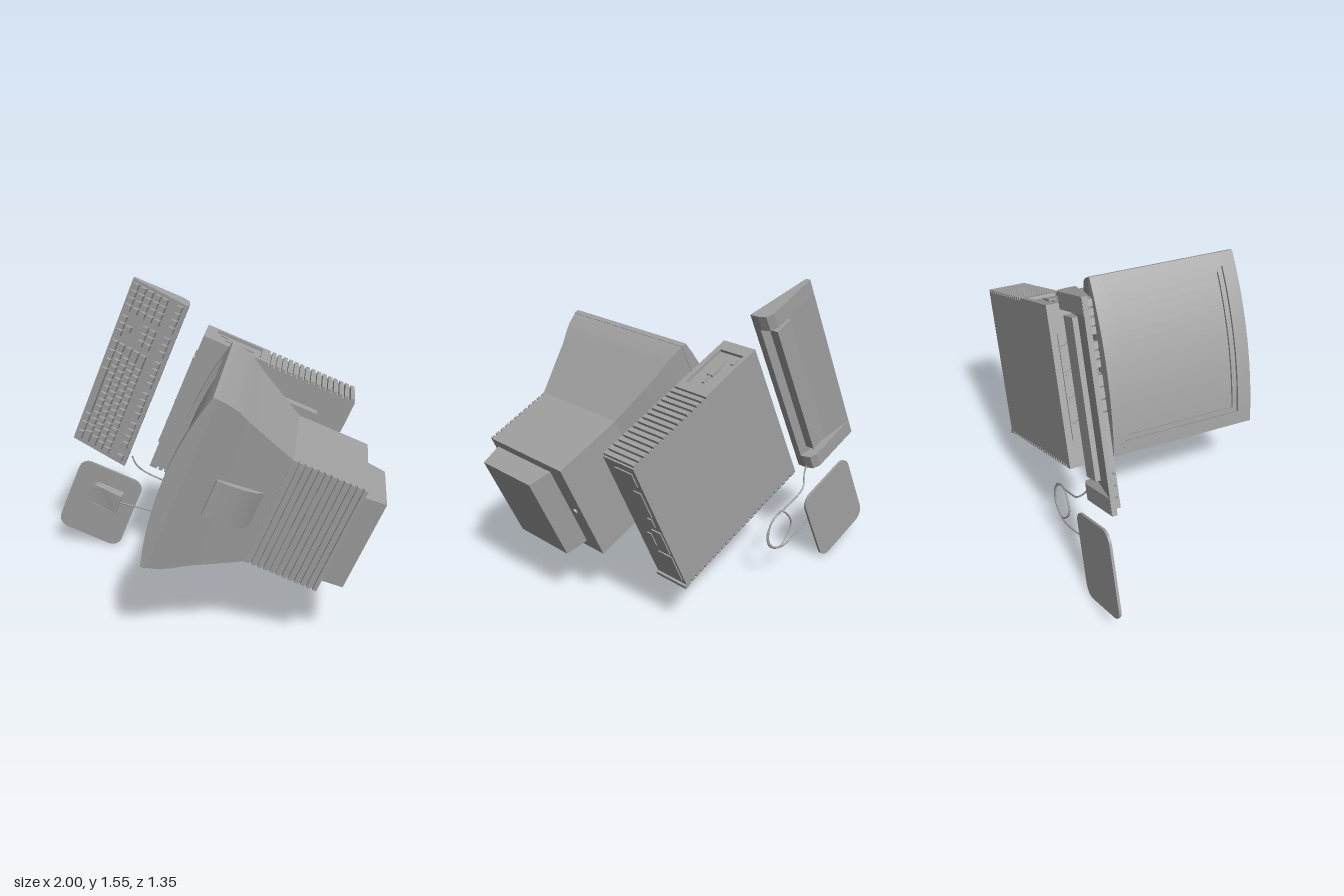
import * as THREE from 'three';
import { mergeGeometries, toCreasedNormals } from 'three/addons/utils/BufferGeometryUtils.js';

export function createModel() {
  const grey = new THREE.MeshStandardMaterial({ color: 0xa0a0a0 });
  grey.name = 'grey';

  // Desk frame: x = depth towards the back, y = width, z = height above the desk
  const model = new THREE.Group();
  model.name = 'desktopComputer';
  const desk = new THREE.Group();
  desk.name = 'deskFrame';
  const D = new THREE.Vector3(0.84, -0.375, -0.39).normalize();
  const W = new THREE.Vector3(0.352, 0.929, -0.112);
  W.addScaledVector(D, -W.dot(D)).normalize();
  const U = new THREE.Vector3().crossVectors(D, W);
  desk.quaternion.setFromRotationMatrix(new THREE.Matrix4().makeBasis(D, W, U));
  model.add(desk);

  const FLOOR = -0.463;
  const MID = 0.815;

  const add = (name, geo) => {
    const mesh = new THREE.Mesh(geo, grey);
    mesh.name = name;
    desk.add(mesh);
    return mesh;
  };
  const boxGeo = (d0, d1, w0, w1, u0, u1, segs = 1) =>
    new THREE.BoxGeometry(d1 - d0, w1 - w0, u1 - u0, 1, segs, 1)
      .translate((d0 + d1) / 2, (w0 + w1) / 2, (u0 + u1) / 2);
  const box = (name, ...r) => add(name, boxGeo(...r));
  const merged = (name, list) => add(name, mergeGeometries(list));
  // Side profile in (depth, height), swept across the width
  const prism = (profile, w0, w1) => {
    const shape = new THREE.Shape(profile.map(p => new THREE.Vector2(p[0], p[1])));
    return new THREE.ExtrudeGeometry(shape, { depth: w1 - w0, bevelEnabled: false })
      .rotateX(Math.PI / 2).translate(0, w1, 0);
  };
  // Rectangular sections [depth, halfWidth, bottom, top] joined into a shell
  const loft = (sections) => {
    const rings = sections.map(([d, h, b, t]) =>
      [[d, MID - h, b], [d, MID + h, b], [d, MID + h, t], [d, MID - h, t]]);
    const pos = [];
    const quad = (a, b, c, e) => pos.push(...a, ...b, ...c, ...a, ...c, ...e);
    for (let i = 0; i < rings.length - 1; i++)
      for (let k = 0; k < 4; k++) {
        const n = (k + 1) % 4;
        quad(rings[i][k], rings[i + 1][k], rings[i + 1][n], rings[i][n]);
      }
    const f = rings[0], l = rings[rings.length - 1];
    quad(f[0], f[1], f[2], f[3]);
    quad(l[3], l[2], l[1], l[0]);
    // wind every face outwards
    for (let i = 0; i < pos.length; i += 9)
      for (let k = 0; k < 3; k++) [pos[i + 3 + k], pos[i + 6 + k]] = [pos[i + 6 + k], pos[i + 3 + k]];
    const g = new THREE.BufferGeometry();
    g.setAttribute('position', new THREE.Float32BufferAttribute(pos, 3));
    g.computeVertexNormals();
    return toCreasedNormals(g, 0.5);
  };

  // System case with ribbed flanks
  box('caseBody', -0.53, 0.30, 0.43, 1.185, FLOOR, -0.268);
  box('caseFrontFlank', -0.53, -0.47, 1.185, 1.2, FLOOR, -0.268);
  box('caseFrontLowerFlank', -0.53, -0.49, 0.415, 0.43, FLOOR, -0.268);
  const ribs = [];
  for (let i = 0; i < 16; i++) {
    const d = -0.2 + i * 0.0314;
    ribs.push(boxGeo(d, d + 0.021, 1.185, 1.2, FLOOR, -0.268));
  }
  for (let i = 0; i < 25; i++) {
    const d = -0.48 + i * 0.0314;
    ribs.push(boxGeo(d, d + 0.021, 0.415, 0.43, FLOOR, -0.268));
  }
  merged('caseRibs', ribs);

  // Drive bay on the flank: surround, slot and latch
  merged('driveBay', [
    boxGeo(-0.47, -0.2, 1.185, 1.2, FLOOR, -0.44),
    boxGeo(-0.47, -0.2, 1.185, 1.2, -0.295, -0.268),
    boxGeo(-0.225, -0.2, 1.185, 1.2, -0.44, -0.295),
    boxGeo(-0.42, -0.26, 1.185, 1.192, -0.375, -0.36),
    boxGeo(-0.37, -0.31, 1.185, 1.196, -0.385, -0.35),
    boxGeo(-0.45, -0.41, 1.185, 1.192, -0.425, -0.405)
  ]);

  // Zigzag grille on the case front
  const grille = [];
  for (let i = 0; i < 8; i++) {
    const w = 0.59 + i * 0.062;
    const s = i % 2 ? 1 : -1;
    grille.push(new THREE.BoxGeometry(0.012, 0.13, 0.012).rotateX(s * 0.95).translate(-0.533, w, -0.365));
  }
  for (const u of [-0.425, -0.305]) grille.push(boxGeo(-0.538, -0.528, 0.55, 1.06, u - 0.005, u + 0.005));
  merged('frontGrille', grille);

  // Sockets and cover plates on the case back
  const plates = [
    [1.07, 1.15, -0.44, -0.33], [0.88, 1.03, -0.44, -0.39], [0.81, 0.86, -0.43, -0.4],
    [0.64, 0.78, -0.45, -0.39], [0.46, 0.62, -0.45, -0.36], [0.66, 0.74, -0.37, -0.345]
  ];
  merged('backPlates', plates.map(p => boxGeo(0.298, 0.306, ...p)));
  box('backLip', 0.29, 0.312, 0.41, 0.43, FLOOR, -0.268);

  // Plinth and swivel stand
  box('plinth', -0.40, 0.145, 0.545, 1.07, -0.27, -0.217);
  const swivel = new THREE.LatheGeometry([[0, -0.217], [0.235, -0.217], [0.235, -0.185],
    [0.21, -0.165], [0.15, -0.14], [0, -0.13]].map(p => new THREE.Vector2(...p)), 40)
    .rotateX(Math.PI / 2).translate(-0.12, MID, 0);
  add('swivelDisc', toCreasedNormals(swivel, 0.5));
  const saddle = [[-0.30, -0.1], [-0.24, -0.155], [-0.16, -0.18], [-0.04, -0.18],
    [0.05, -0.15], [0.11, -0.09], [0.15, -0.03], [-0.05, -0.05]];
  add('tiltSaddle', prism(saddle, 0.67, 0.96));

  // Monitor shell
  add('monitorShell', loft([
    [-0.37, 0.45, -0.175, 0.615], [-0.30, 0.437, -0.163, 0.595], [-0.25, 0.418, -0.15, 0.578],
    [-0.20, 0.39, -0.135, 0.562], [-0.1, 0.346, -0.097, 0.538], [0.05, 0.28, -0.04, 0.50]
  ]));

  // Bowed front: frame bars and screen follow the same curve across the width
  const bowed = (front, back, w0, w1, u0, u1) => {
    const g = boxGeo(front, back, w0, w1, u0, u1, 14);
    const p = g.attributes.position;
    for (let i = 0; i < p.count; i++)
      if (p.getX(i) < (front + back) / 2)
        p.setX(i, front - 0.06 * (1 - ((p.getY(i) - MID) / 0.45) ** 2));
    g.computeVertexNormals();
    return g;
  };
  const frame = (front, o, n) => [
    bowed(front, -0.36, o[0], o[1], o[2], n[2]), bowed(front, -0.36, o[0], o[1], n[3], o[3]),
    bowed(front, -0.36, o[0], n[0], n[2], n[3]), bowed(front, -0.36, n[1], o[1], n[2], n[3])
  ];
  const outer = [0.365, 1.265, -0.175, 0.615];
  const opening = [0.435, 1.195, -0.115, 0.54];
  const inner = [0.46, 1.17, -0.09, 0.515];
  merged('screenBezel', frame(-0.385, outer, opening));
  merged('screenSurround', frame(-0.372, opening, inner));
  add('screen', bowed(-0.36, -0.345, ...inner));

  // Ribbed rear housing
  box('rearHousing', 0.05, 0.41, 0.535, 1.095, -0.04, 0.486);
  const vents = [];
  for (let i = 0; i < 12; i++) {
    const d = 0.05 + i * 0.0307;
    vents.push(boxGeo(d, d + 0.02, 0.535, 1.095, 0.486, 0.502));
  }
  merged('rearVents', vents);
  add('tubeCover', prism([[0.41, 0.06], [0.52, 0.09], [0.52, 0.45], [0.41, 0.47]], 0.58, 1.05));
  add('rearSocket', new THREE.CylinderGeometry(0.013, 0.013, 0.012, 16)
    .rotateZ(Math.PI / 2).translate(0.414, MID, 0.01));

  // Raised grip on the monitor top
  const grip = [[-0.235, 0.55], [-0.225, 0.58], [-0.17, 0.582], [-0.10, 0.57], [-0.04, 0.545], [0.01, 0.5]];
  add('topGrip', toCreasedNormals(prism(grip, 0.71, 0.9), 0.6));

  // Keyboard tray, end feet
  const SLOPE = 0.26;
  const deck = d => -0.438 + (d + 0.975) * SLOPE;
  add('keyboardDeck', prism([[-0.975, FLOOR], [-0.655, -0.392], [-0.655, -0.355],
    [-0.975, -0.438]], 0.31, 1.28));
  for (const w of [0.31, 1.2])
    add('keyboardFoot', prism([[-0.97, FLOOR], [-0.70, FLOOR], [-0.665, -0.445],
      [-0.655, -0.40], [-0.655, -0.37], [-0.97, -0.45]], w, w + 0.08));
  box('keyboardSpine', -0.80, -0.70, 0.42, 1.17, -0.45, -0.40);

  // Keys
  const keys = [];
  const key = (d, w0, w1) => keys.push(new THREE.BoxGeometry(0.031, w1 - w0 - 0.009, 0.03)
    .rotateY(-Math.atan(SLOPE)).translate(d, (w0 + w1) / 2, deck(d) + 0.006));
  const row = (d, start, pitch, count) => {
    for (let i = 0; i < count; i++) key(d, start + i * pitch, start + (i + 1) * pitch);
  };
  const rowD = i => -0.945 + i * 0.042;
  for (let r = 1; r < 5; r++) {
    const lead = 0.04 + (4 - r) * 0.011;
    key(rowD(r), 0.33, 0.33 + lead);
    row(rowD(r), 0.33 + lead, 0.0405, 12);
    key(rowD(r), 0.33 + lead + 0.486, 0.94);
  }
  row(rowD(0), 0.33, 0.055, 3);
  key(rowD(0), 0.495, 0.775);
  row(rowD(0), 0.775, 0.055, 3);
  for (const r of [3, 4]) row(rowD(r), 0.965, 0.04, 3);
  row(rowD(0), 0.965, 0.04, 3);
  key(rowD(1), 1.005, 1.045);
  for (let r = 0; r < 5; r++) row(rowD(r), 1.108, 0.04, 4);
  key(-0.695, 0.33, 0.37);
  for (let g = 0; g < 3; g++) row(-0.695, 0.41 + g * 0.185, 0.0405, 4);
  row(-0.695, 0.965, 0.04, 3);
  row(-0.695, 1.108, 0.04, 4);
  merged('keys', keys);

  // Mouse pad with rounded corners
  const pad = new THREE.Shape();
  const [x0, x1, y0, y1, r] = [-0.89, -0.52, -0.232, 0.205, 0.06];
  pad.absarc(x1 - r, y1 - r, r, 0, Math.PI / 2);
  pad.absarc(x0 + r, y1 - r, r, Math.PI / 2, Math.PI);
  pad.absarc(x0 + r, y0 + r, r, Math.PI, Math.PI * 1.5);
  pad.absarc(x1 - r, y0 + r, r, Math.PI * 1.5, Math.PI * 2);
  add('mousePad', new THREE.ExtrudeGeometry(pad, { depth: 0.013, bevelEnabled: false, curveSegments: 8 })
    .translate(0, 0, FLOOR));

  // Mouse: round palm end, arched back
  const palm = new THREE.Shape();
  palm.moveTo(-0.605, 0);
  palm.lineTo(-0.605, 0.11);
  palm.lineTo(-0.735, 0.11);
  palm.absarc(-0.735, 0.055, 0.055, Math.PI / 2, Math.PI * 1.5);
  const mouse = new THREE.ExtrudeGeometry(palm, { depth: 0.06, bevelEnabled: false, curveSegments: 16 });
  const mp = mouse.attributes.position;
  for (let i = 0; i < mp.count; i++)
    if (mp.getZ(i) > 0.03) mp.setZ(i, 0.03 + 0.035 * Math.min(1, (mp.getX(i) + 0.79) / 0.08));
  mouse.translate(0, 0, -0.45).computeVertexNormals();
  add('mouse', toCreasedNormals(mouse, 0.6));

  // Looped cable from mouse to keyboard
  const path = [[-0.605, 0.05], [-0.573, 0.053], [-0.404, 0.072], [-0.293, 0.089], [-0.227, 0.158],
    [-0.244, 0.238], [-0.363, 0.283], [-0.407, 0.163], [-0.285, 0.098], [-0.23, 0.18],
    [-0.289, 0.274], [-0.43, 0.272], [-0.551, 0.279], [-0.608, 0.315], [-0.64, 0.35]];
  const curve = new THREE.CatmullRomCurve3(path.map(([d, w], i) =>
    new THREE.Vector3(d, w, i < 2 ? -0.435 : i > 12 ? -0.43 : -0.455)));
  add('cable', new THREE.TubeGeometry(curve, 120, 0.0045, 6));

  return model;
}
